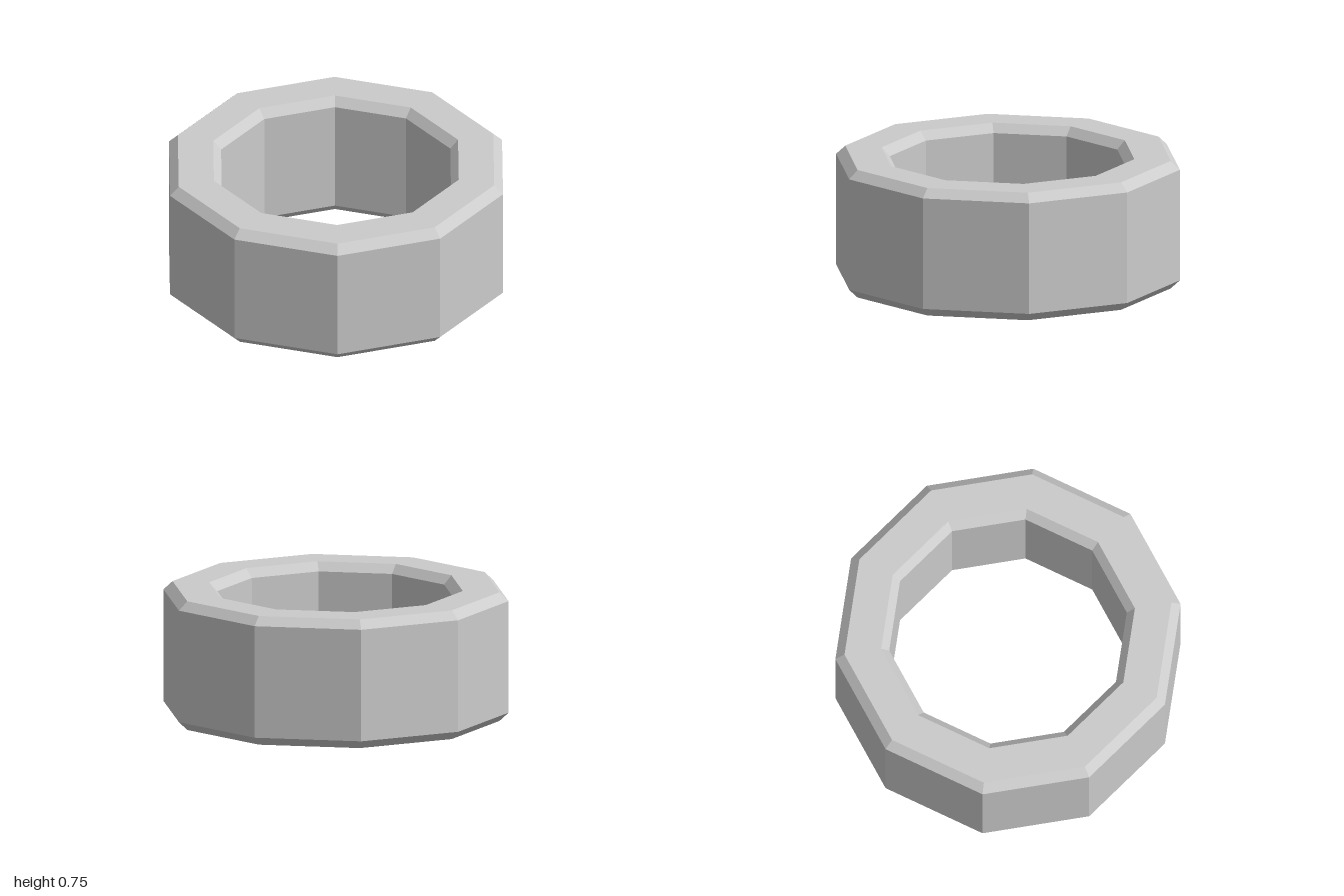
import * as THREE from 'three';

export function createModel() {
  const group = new THREE.Group();
  group.name = 'decagonalRing';

  // Ring dimensions (radii measured to the corners)
  const sides = 10, height = 0.75, bevel = 0.05;
  const outer = 1, outerRim = 0.947, innerRim = 0.735, inner = 0.688;

  // Closed bevelled cross-section: up the outside, down the inside
  const profile = [
    [outerRim, 0], [outer, bevel], [outer, height - bevel], [outerRim, height],
    [innerRim, height], [inner, height - bevel], [inner, bevel], [innerRim, 0],
    [outerRim, 0],
  ].map(([r, y]) => new THREE.Vector2(r, y));

  const ring = new THREE.Mesh(
    new THREE.LatheGeometry(profile, sides),
    new THREE.MeshStandardMaterial({ color: 0xcccccc, flatShading: true })
  );
  ring.name = 'ringBand';
  group.add(ring);
  return group;
}
